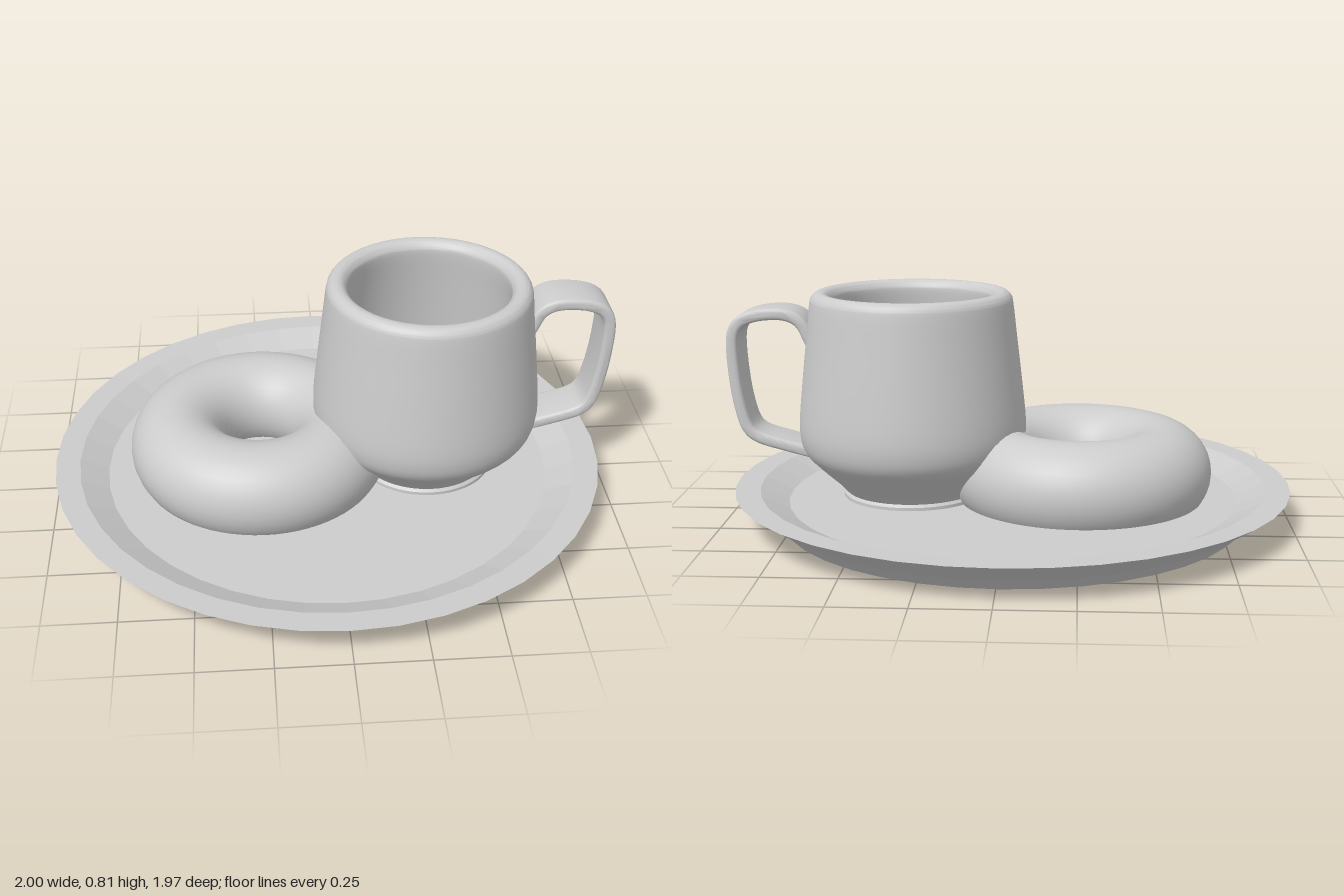
import * as THREE from 'three';
import { toCreasedNormals } from 'three/addons/utils/BufferGeometryUtils.js';

const clay = new THREE.MeshStandardMaterial({ color: 0xcccccc });
clay.name = 'plain grey clay';

const vectors = (list) => list.map(([x, y]) => new THREE.Vector2(x, y));

function addMesh(parent, name, geometry, x = 0, y = 0, z = 0) {
  const mesh = new THREE.Mesh(geometry, clay);
  mesh.name = name;
  mesh.position.set(x, y, z);
  parent.add(mesh);
  return mesh;
}

// Closed band of even thickness along a centre line, with rounded long edges
function handleGeometry(points, thickness, width) {
  const bevel = 0.014;
  const curve = new THREE.SplineCurve(vectors(points));
  const outer = [], inner = [];
  const steps = 48;
  for (let i = 0; i <= steps; i++) {
    const p = curve.getPointAt(i / steps);
    const t = curve.getTangentAt(i / steps);
    const n = new THREE.Vector2(-t.y, t.x).multiplyScalar(thickness / 2 - bevel);
    outer.push(p.clone().add(n));
    inner.unshift(p.clone().sub(n));
  }
  const depth = width - 2 * bevel;
  const geometry = new THREE.ExtrudeGeometry(new THREE.Shape([...outer, ...inner]), {
    depth, bevelEnabled: true, bevelSize: bevel, bevelThickness: bevel, bevelSegments: 4, curveSegments: 1,
  });
  geometry.translate(0, 0, -depth / 2);
  return toCreasedNormals(geometry, 0.7);
}

export function createModel() {
  const group = new THREE.Group();
  group.name = 'cup and ring cake on a plate';

  // Faceted plate with a sunken floor and a flat rim
  const plateProfile = vectors([
    [0, 0.002], [0.825, 0.002], [0.868, 0.045], [0.987, 0.125],
    [0.9, 0.123], [0.8, 0.075], [0, 0.075],
  ]);
  const plate = new THREE.LatheGeometry(plateProfile, 40).toNonIndexed();
  plate.computeVertexNormals();
  addMesh(group, 'plate', plate, -0.0135, 0, -0.003);

  // Ring cake, its underside sunk into the plate
  const ring = new THREE.TorusGeometry(0.298, 0.1695, 32, 72);
  ring.rotateX(-Math.PI / 2);
  addMesh(group, 'ringCake', ring, -0.257, 0.1695, -0.01);

  // Cup: one wall running up the outside, over the lip and down the inside
  const cup = new THREE.Group();
  cup.name = 'cup';
  cup.position.set(0.343, 0, -0.008);
  group.add(cup);

  const wall = new THREE.SplineCurve(vectors([
    [0.243, 0.095], [0.275, 0.13], [0.345, 0.195], [0.385, 0.24], [0.402, 0.29], [0.404, 0.36],
    [0.39, 0.5], [0.373, 0.65], [0.36, 0.765], [0.352, 0.793], [0.334, 0.808],
    [0.31, 0.808], [0.292, 0.793], [0.286, 0.765], [0.3, 0.65], [0.32, 0.48],
    [0.332, 0.34], [0.31, 0.25], [0.25, 0.18], [0.165, 0.135],
  ])).getPoints(76);
  const cupProfile = [
    ...vectors([[0, 0.04], [0.252, 0.04], [0.252, 0.086]]),
    ...wall,
    new THREE.Vector2(0, 0.13),
  ];
  addMesh(cup, 'cupBody', toCreasedNormals(new THREE.LatheGeometry(cupProfile, 48), 0.6));

  // Handle: a flat band looping out from the wall
  const handle = handleGeometry([
    [0.355, 0.64], [0.385, 0.7], [0.43, 0.727], [0.49, 0.732], [0.56, 0.722], [0.61, 0.695],
    [0.631, 0.64], [0.627, 0.52], [0.612, 0.41], [0.587, 0.325], [0.545, 0.288],
    [0.46, 0.262], [0.375, 0.24],
  ], 0.042, 0.165);
  addMesh(cup, 'cupHandle', handle);

  return group;
}
